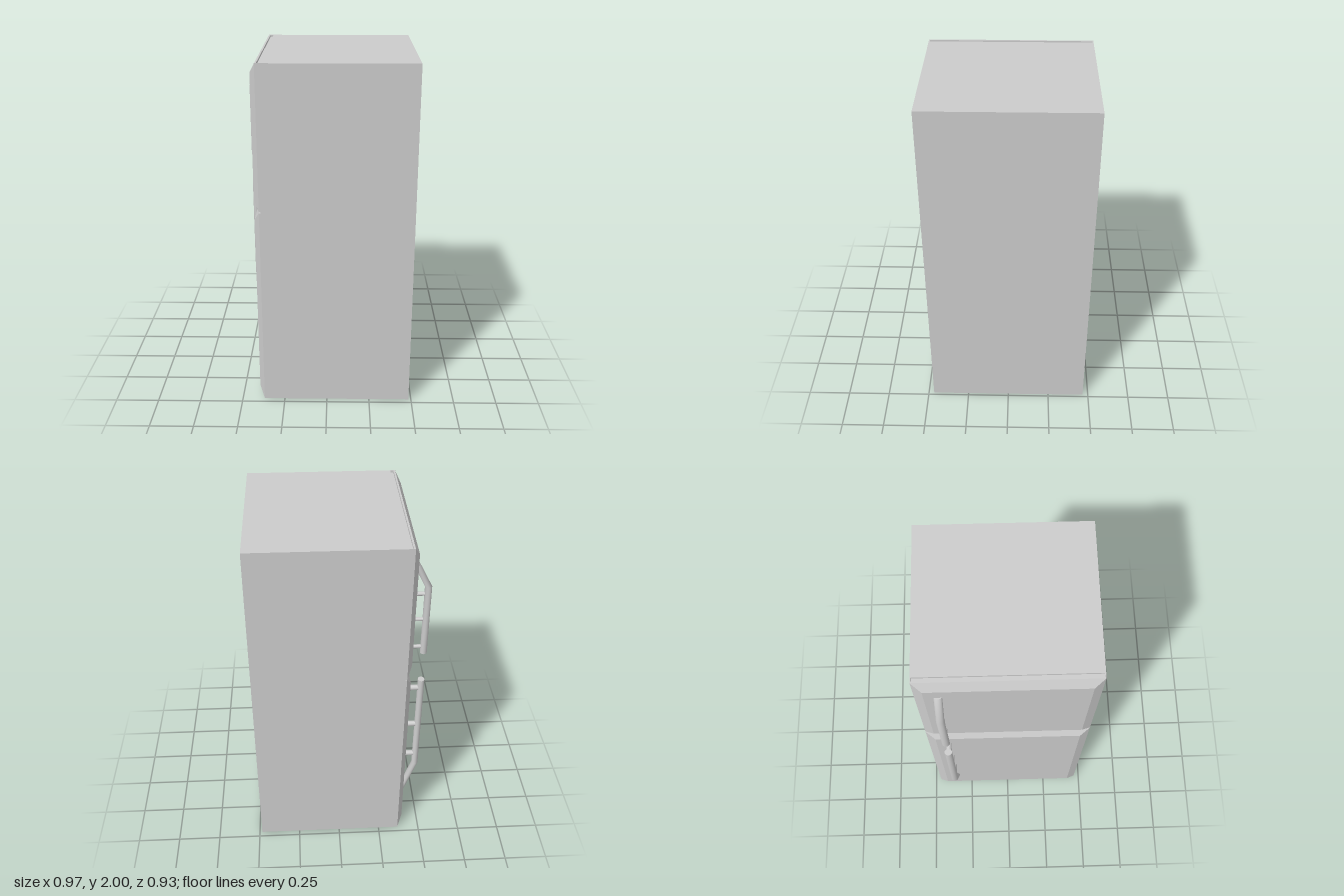
import * as THREE from 'three';

const grey = new THREE.MeshStandardMaterial({ color: 0xcccccc });
const flat = new THREE.MeshStandardMaterial({ color: 0xcccccc, flatShading: true });

function add(group, name, geometry, material = grey) {
  const mesh = new THREE.Mesh(geometry, material);
  mesh.name = name;
  group.add(mesh);
}

// Box given by its lower and upper limits on each axis
function box(x0, x1, y0, y1, z0, z1) {
  return new THREE.BoxGeometry(x1 - x0, y1 - y0, z1 - z0)
    .translate((x0 + x1) / 2, (y0 + y1) / 2, (z0 + z1) / 2);
}

const DEPTH = 0.467;      // half width of the cabinet along z
const BACK = -0.36, EDGE = -0.37, FACE = -0.4; // door planes along x
const HANDLE_X = -0.469, HANDLE_Z = -0.344;

// Door panel whose outer face is bevelled inwards on all four sides
function doorBevel(y0, y1) {
  const g = box(FACE, EDGE, y0, y1, -DEPTH, DEPTH);
  const p = g.attributes.position;
  const mid = (y0 + y1) / 2;
  for (let i = 0; i < p.count; i++) {
    if (p.getX(i) > FACE + 0.01) continue;
    p.setY(i, p.getY(i) - Math.sign(p.getY(i) - mid) * 0.058);
    p.setZ(i, p.getZ(i) - Math.sign(p.getZ(i)) * 0.052);
  }
  g.computeVertexNormals();
  return g;
}

// Bar with a straight grip that leans in to the door at one end
function handleBar(free, bend, foot) {
  const rows = [[HANDLE_X, free], [HANDLE_X, bend], [-0.39, foot]];
  if (foot < free) rows.reverse();
  const g = new THREE.CylinderGeometry(1, 1, 2, 20, 2);
  const p = g.attributes.position;
  for (let i = 0; i < p.count; i++) {
    const [x, y] = rows[Math.round(p.getY(i)) + 1];
    p.setXYZ(i, x + p.getX(i) * 0.019, y, HANDLE_Z + p.getZ(i) * 0.022);
  }
  g.computeVertexNormals();
  return g;
}

function createDoor(name, y0, y1, handle) {
  const door = new THREE.Group();
  door.name = name;
  add(door, 'doorBack', box(EDGE, BACK, y0, y1, -DEPTH, DEPTH));
  add(door, 'doorPanel', doorBevel(y0, y1), flat);
  add(door, 'handleBar', handleBar(handle.free, handle.bend, handle.foot));
  for (const y of handle.posts) {
    const post = new THREE.CylinderGeometry(handle.radius, handle.radius, 0.08, 14);
    add(door, 'handlePost', post.rotateZ(Math.PI / 2).translate(-0.43, y, HANDLE_Z));
  }
  return door;
}

export function createModel() {
  const fridge = new THREE.Group();
  fridge.name = 'fridge';

  // Cabinet, with a seal recessed between it and the doors
  add(fridge, 'cabinet', box(-0.342, 0.485, 0, 2, -DEPTH, DEPTH));
  add(fridge, 'doorSeal', box(BACK, -0.342, 0, 1.988, -0.461, 0.461));
  for (const s of [-1, 1]) {
    const z = [s * 0.461, s * DEPTH].sort((a, b) => a - b);
    add(fridge, 'sideStrip', box(BACK, -0.342, 0, 2, z[0], z[1]));
  }

  // Two doors with their handles
  fridge.add(createDoor('lowerDoor', 0, 1.184, {
    free: 1.095, bend: 0.45, foot: 0.215, posts: [1.035, 0.762, 0.525], radius: 0.016,
  }));
  fridge.add(createDoor('upperDoor', 1.19, 2, {
    free: 1.285, bend: 1.71, foot: 1.865, posts: [1.665, 1.505, 1.325], radius: 0.011,
  }));
  return fridge;
}
